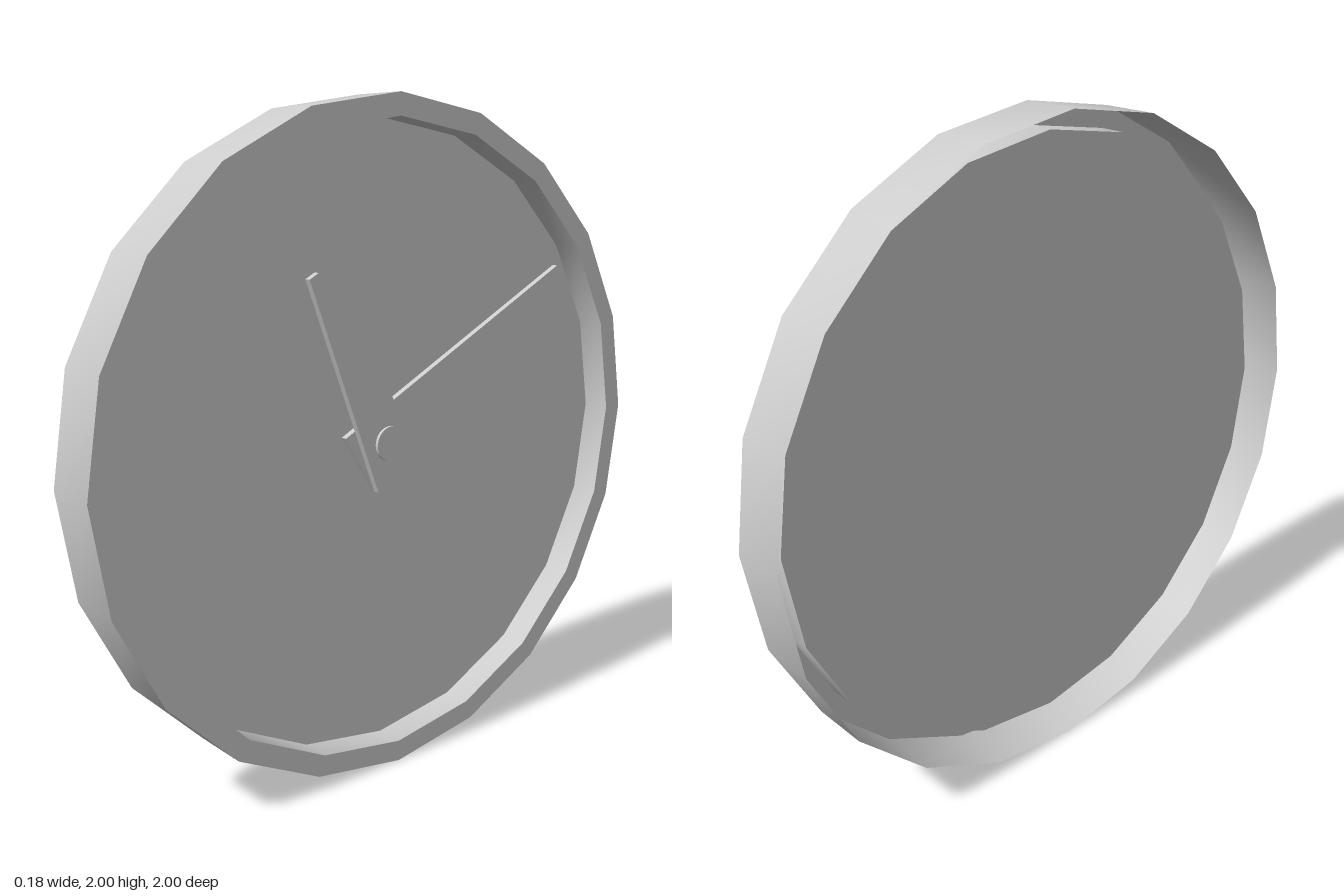
import * as THREE from 'three';
import { toCreasedNormals } from 'three/addons/utils/BufferGeometryUtils.js';

const SIDES = 20;
const HALF_DEPTH = 0.09;
const material = new THREE.MeshStandardMaterial({ color: 0xcccccc });
const shellMaterial = new THREE.MeshStandardMaterial({ color: 0xcccccc, side: THREE.DoubleSide });

// Thin surface of revolution about the x axis; profile is [radius, x] pairs
function revolve(name, profile) {
  const points = profile.map(([r, x]) => new THREE.Vector2(r, x));
  const geometry = toCreasedNormals(new THREE.LatheGeometry(points, SIDES), 0.6);
  geometry.rotateZ(-Math.PI / 2);
  const mesh = new THREE.Mesh(geometry, shellMaterial);
  mesh.name = name;
  return mesh;
}

// Tapered flat hand, turned by angle from 12 o'clock (positive towards +z)
function clockHand(name, length, angle, x) {
  const tail = -0.108, thickness = 0.02;
  const shape = new THREE.Shape([
    new THREE.Vector2(-0.104, tail),
    new THREE.Vector2(0.104, tail),
    new THREE.Vector2(0.018, length),
    new THREE.Vector2(-0.018, length),
  ]);
  const geometry = new THREE.ExtrudeGeometry(shape, { depth: thickness, bevelEnabled: false });
  geometry.rotateZ(angle);
  geometry.rotateY(Math.PI / 2);
  geometry.translate(x, 0, 0);
  const mesh = new THREE.Mesh(geometry, material);
  mesh.name = name;
  return mesh;
}

export function createModel() {
  const clock = new THREE.Group();
  clock.name = 'wallClock';
  clock.position.y = 1;

  // Hollow case, open at the back, with a front rim stepping in to the dial
  clock.add(revolve('caseRim', [
    [1, -HALF_DEPTH], [1, HALF_DEPTH], [0.935, HALF_DEPTH], [0.935, 0],
  ]));
  clock.add(revolve('dial', [[0.935, 0], [0, 0]]));

  // Hands stacked in front of the dial
  clock.add(clockHand('minuteHand', 0.885, -1.011, 0.001));
  clock.add(clockHand('hourHand', 0.573, 0.491, 0.021));

  // Centre pin
  const pin = new THREE.Mesh(new THREE.CylinderGeometry(0.052, 0.052, 0.05, 32), material);
  pin.name = 'centrePin';
  pin.rotation.z = -Math.PI / 2;
  pin.position.x = 0.026;
  clock.add(pin);

  const model = new THREE.Group();
  model.name = 'clock';
  model.add(clock);
  return model;
}
